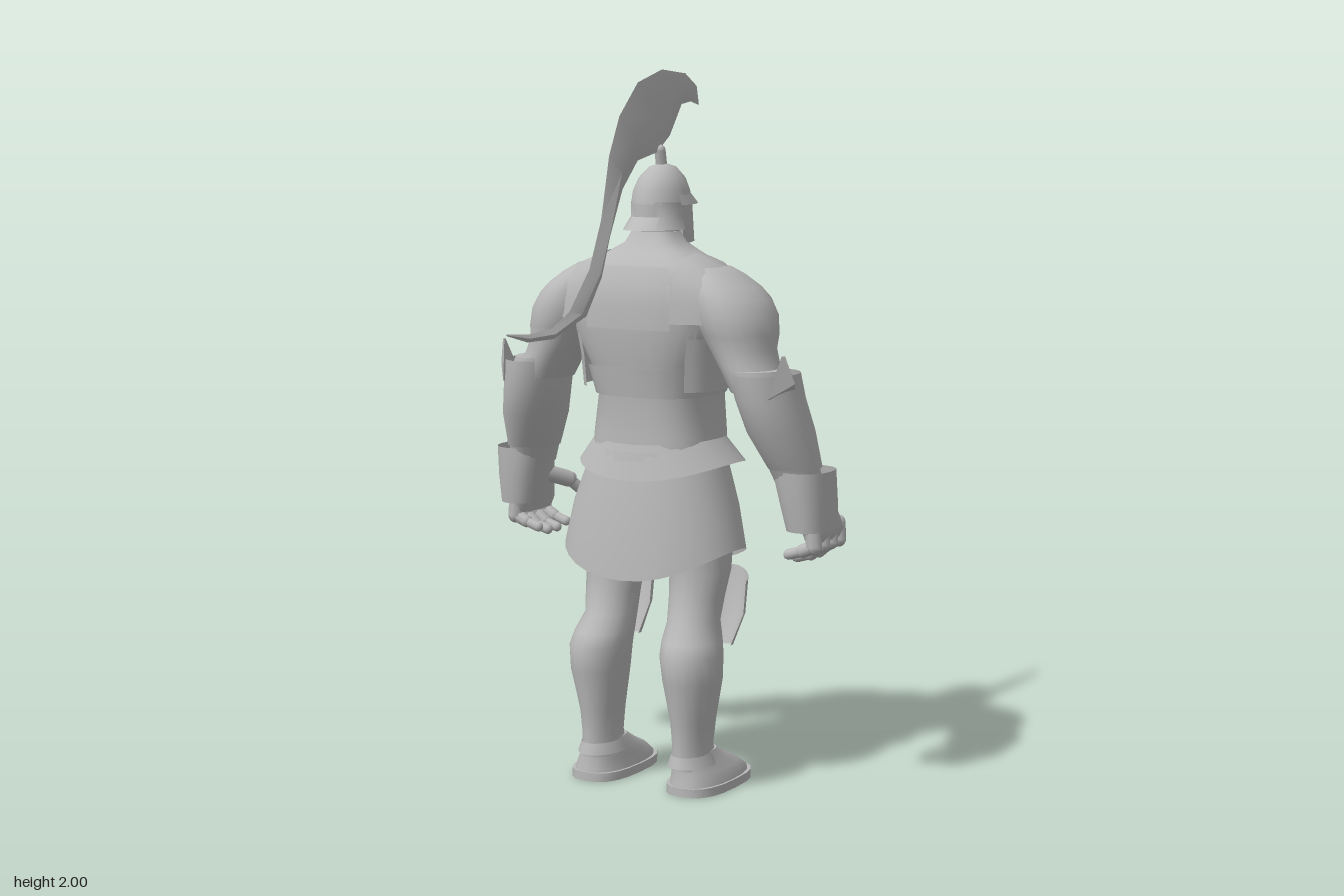
import * as THREE from 'three';
import { toCreasedNormals } from 'three/addons/utils/BufferGeometryUtils.js';

const stone = new THREE.MeshStandardMaterial({ color: 0xb8b8b8, side: THREE.DoubleSide });
stone.name = 'plain grey';
const V = (x, y, z) => new THREE.Vector3(x, y, z);

function add(parent, name, geometry) {
  const mesh = new THREE.Mesh(geometry, stone);
  mesh.name = name;
  parent.add(mesh);
  return mesh;
}

// Skin a list of rings (top to bottom), optionally closed around and capped
function loft(rings, closed = true, capped = closed, crease = 0.7) {
  const n = rings[0].length, pos = [], idx = [];
  rings.forEach(r => r.forEach(p => pos.push(p.x, p.y, p.z)));
  for (let i = 0; i + 1 < rings.length; i++) {
    for (let j = 0; j < (closed ? n : n - 1); j++) {
      const tr = i * n + j, tl = i * n + (j + 1) % n;
      idx.push(tl, tl + n, tr + n, tl, tr + n, tr);
    }
  }
  if (capped) [0, rings.length - 1].forEach(i => {
    const c = V(0, 0, 0), ci = pos.length / 3;
    rings[i].forEach(p => c.addScaledVector(p, 1 / n));
    pos.push(c.x, c.y, c.z);
    for (let j = 0; j < n; j++) {
      const a = i * n + j, b = i * n + (j + 1) % n;
      if (i === 0) idx.push(ci, b, a); else idx.push(ci, a, b);
    }
  });
  const g = new THREE.BufferGeometry();
  g.setAttribute('position', new THREE.Float32BufferAttribute(pos, 3));
  g.setIndex(idx);
  return toCreasedNormals(g, crease);
}

// Oval rows [y, cx, cz, rx, rz, dip]; angle 0 is the face side (-z), PI/2 is +x
function ovals(rows, { from = 0, to = Math.PI * 2, power = 2, n = 20, capped } = {}) {
  const closed = to - from > 6.28;
  const bend = v => Math.sign(v) * Math.abs(v) ** (2 / power);
  const rings = rows.map(([y, cx, cz, rx, rz, dip = 0]) =>
    Array.from({ length: closed ? n : n + 1 }, (_, j) => {
      const a = from + (to - from) * j / n, c = Math.cos(a);
      return V(cx + rx * bend(Math.sin(a)), y - dip * c * c, cz - rz * bend(c));
    }));
  return loft(rings, closed, capped ?? closed);
}

// Rounded bar between two points
function bar(parent, name, a, b, r) {
  const mesh = add(parent, name, new THREE.CapsuleGeometry(r, a.distanceTo(b), 4, 8));
  mesh.position.copy(a).lerp(b, 0.5);
  mesh.quaternion.setFromUnitVectors(V(0, 1, 0), b.clone().sub(a).normalize());
}

function box(parent, name, p, s, rx = 0) {
  const mesh = add(parent, name, new THREE.BoxGeometry(...s));
  mesh.position.set(...p);
  mesh.rotation.x = rx;
}

function buildTorso(g) {
  add(g, 'torso', ovals([
    [1.56, 0, -.255, .064, .065], [1.53, 0, -.25, .08, .075], [1.505, 0, -.245, .125, .095],
    [1.475, 0, -.238, .185, .12], [1.43, 0, -.245, .228, .15], [1.37, 0, -.258, .242, .166],
    [1.28, 0, -.265, .225, .172], [1.2, 0, -.277, .185, .17], [1.11, 0, -.286, .16, .165],
    [1.0, 0, -.28, .175, .16], [.88, 0, -.27, .18, .155]], { power: 2.8, n: 32 }));
  add(g, 'backPlate', ovals([[1.47, 0, -.245, .2, .132], [1.42, 0, -.25, .23, .161], [1.36, 0, -.25, .235, .168],
    [1.3, 0, -.25, .235, .168]], { from: 2.65, to: 3.63, power: 2.6, n: 10 }));
  add(g, 'waistBand', ovals([[1.19, 0, -.277, .19, .174], [1.11, 0, -.285, .168, .17]], { power: 2.8, capped: false }));
  // Belt with a flared pointed lower edge
  add(g, 'belt', ovals([[.99, 0, -.28, .182, .168, .01], [.925, 0, -.291, .235, .206, .042]],
    { n: 28, power: 2.2, capped: false }));
  add(g, 'skirt', ovals([[.96, 0, -.27, .185, .165], [.8, 0, -.255, .24, .185], [.69, 0, -.25, .265, .2, .08]],
    { from: .5, to: Math.PI * 2 - .5, power: 2.2, n: 26 }));
  for (let i = -2; i <= 2; i++) {
    box(g, 'frontStrip', [i * .045, .775, -.452 + Math.abs(i) * .006], [.038, .23, .012], .06);
  }
}

function buildHead(g) {
  add(g, 'head', ovals([[1.67, 0, -.28, .06, .08], [1.62, 0, -.278, .066, .088], [1.57, 0, -.278, .063, .085],
    [1.53, 0, -.29, .052, .07], [1.5, 0, -.3, .034, .045]], { power: 2.3 }));
  box(g, 'brow', [0, 1.617, -.36], [.08, .014, .02], .2);
  box(g, 'nose', [0, 1.587, -.366], [.018, .045, .026], .25);
  box(g, 'mouth', [0, 1.548, -.352], [.036, .012, .016]);
  add(g, 'helmet', ovals([[1.745, 0, -.285, .008, .01], [1.735, 0, -.285, .035, .045], [1.705, 0, -.282, .06, .078],
    [1.67, 0, -.28, .073, .095], [1.635, 0, -.278, .077, .1]], { capped: false }));
  add(g, 'brim', ovals([[1.66, 0, -.28, .076, .099], [1.632, 0, -.29, .086, .122, -.006]],
    { from: -1.9, to: 1.9 }));
  add(g, 'neckGuard', ovals([[1.64, 0, -.275, .077, .095], [1.6, 0, -.27, .075, .092], [1.565, 0, -.265, .086, .13]],
    { from: 1.6, to: 4.68 }));
  bar(g, 'crestPost', V(0, 1.735, -.28), V(0, 1.78, -.27), .016);
  // Crest: upper and lower edge pairs as z, y, z, y with the half thickness
  const edges = [[-.487, 1.907, -.485, 1.902, .001], [-.475, 1.955, -.44, 1.912, .005], [-.41, 1.99, -.39, 1.905, .01],
    [-.28, 2, -.325, 1.82, .018], [-.15, 1.965, -.255, 1.775, .021], [-.053, 1.875, -.15, 1.755, .021],
    [0, 1.77, -.07, 1.68, .02], [.037, 1.61, -.005, 1.555, .018], [.1, 1.475, .037, 1.45, .016],
    [.2, 1.37, .115, 1.352, .013], [.29, 1.333, .275, 1.306, .01], [.4, 1.328, .4, 1.308, .007],
    [.497, 1.337, .497, 1.333, .001]];
  add(g, 'crest', loft(edges.map(([z1, y1, z2, y2, t]) => {
    const z = (z1 + z2) / 2, y = (y1 + y2) / 2;
    return [V(0, y1, z1), V(t, y, z), V(0, y2, z2), V(-t, y, z)];
  })));
}

function buildArm(g) {
  add(g, 'upperArm', ovals([[1.468, .185, -.24, .045, .07], [1.445, .205, -.242, .065, .1], [1.415, .225, -.243, .088, .123],
    [1.385, .242, -.242, .101, .134], [1.34, .26, -.238, .108, .138], [1.29, .277, -.233, .098, .128],
    [1.25, .289, -.227, .085, .11], [1.21, .31, -.22, .077, .106], [1.14, .345, -.22, .075, .1]]));
  add(g, 'forearm', ovals([[1.2, .338, -.215, .08, .105], [1.14, .362, -.22, .08, .112], [1.05, .388, -.24, .08, .112],
    [.97, .412, -.268, .07, .095], [.88, .432, -.29, .058, .078]]));
  // Bracer with a raised elbow point on the outer side
  add(g, 'bracer', ovals([[1.19, .36, -.218, .09, .118], [1.12, .373, -.226, .088, .12], [1.03, .395, -.248, .086, .116],
    [.93, .422, -.28, .07, .09]], { from: -.1, to: 5.2 }));
  add(g, 'elbowPoint', loft([[V(.445, 1.245, -.165), V(.45, 1.245, -.16), V(.442, 1.245, -.155)],
    [V(.44, 1.13, -.24), V(.47, 1.17, -.18), V(.42, 1.13, -.115)]], true, true, .3));
  add(g, 'cuff', ovals([[.925, .448, -.285, .08, .092], [.84, .457, -.295, .07, .094], [.76, .464, -.305, .06, .09]],
    { from: -.3, to: 4.1, power: 2.4 }));
  // Hand with curled fingers and a forward thumb
  add(g, 'palm', ovals([[.9, .435, -.295, .05, .07], [.82, .458, -.325, .042, .085], [.75, .476, -.35, .036, .095],
    [.725, .475, -.35, .025, .085]], { power: 2.6 }));
  [.275, .325, .375, .425].forEach((z, i) => {
    const lift = [.015, 0, 0, .01][i];
    const joints = [V(.482, .76, -z), V(.485, .715, -z), V(.45, .685 + lift, -z), V(.408, .672 + lift, -z)];
    for (let k = 0; k < 3; k++) bar(g, 'finger', joints[k], joints[k + 1], .023 - k * .004);
  });
  bar(g, 'thumbBase', V(.44, .84, -.34), V(.395, .81, -.42), .025);
  bar(g, 'thumb', V(.395, .81, -.42), V(.372, .775, -.455), .018);
}

function buildLeg(g) {
  add(g, 'leg', ovals([[.9, .105, -.27, .1, .125], [.75, .125, -.27, .1, .113], [.62, .135, -.27, .086, .09],
    [.55, .136, -.25, .077, .085], [.48, .134, -.235, .071, .085], [.43, .142, -.212, .08, .1],
    [.39, .147, -.2, .083, .107], [.32, .15, -.202, .078, .102], [.2, .148, -.21, .056, .085],
    [.13, .147, -.21, .049, .08], [.07, .147, -.215, .055, .085]]));
  add(g, 'kneeGuard', ovals([[.58, .152, -.335, .087, .096, -.028], [.49, .152, -.32, .088, .09],
    [.405, .15, -.288, .068, .081, .015]], { from: -1.45, to: 1.45, n: 12 }));
  add(g, 'bootRim', ovals([[.11, .147, -.213, .053, .084], [.078, .147, -.215, .064, .095]], { capped: false }));
  add(g, 'boot', ovals([[.115, .147, -.22, .05, .08], [.085, .147, -.245, .06, .107], [.06, .152, -.273, .07, .135],
    [.035, .155, -.288, .078, .156], [.02, .155, -.29, .081, .16]], { power: 2.4 }));
  add(g, 'sole', ovals([[.025, .155, -.291, .086, .165], [0, .155, -.291, .086, .165]], { power: 2.7 }));
}

function buildArmour(g) {
  const chest = add(g, 'chestMuscle', new THREE.SphereGeometry(1, 20, 12));
  chest.position.set(.1, 1.335, -.383);
  chest.scale.set(.115, .085, .055);
  chest.rotation.set(-.1, -.15, .15);
  add(g, 'sidePanel', ovals([[1.33, 0, -.265, .234, .176], [1.22, 0, -.272, .212, .176], [1.13, 0, -.277, .205, .175]],
    { from: .75, to: 2.4, power: 2.8, n: 12 }));
  // Strap lying over the shoulder from the back to the chest: z, y and sideways fall
  const path = [[-.098, 1.32, 0], [-.102, 1.38, .005], [-.115, 1.435, .015], [-.155, 1.475, .03], [-.23, 1.488, .035],
    [-.31, 1.477, .03], [-.367, 1.437, .015], [-.405, 1.38, .005], [-.42, 1.32, 0]];
  add(g, 'shoulderStrap', loft(path.map(([z, y, fall]) => {
    const at = (x, k, drop) => V(x, y - drop, -.25 + (z + .25) * k);
    return [at(.135, 1.06, -fall * .5), at(.18, 1, 0), at(.23, .86, fall)];
  }), false));
}

export function createModel() {
  const model = new THREE.Group();
  model.name = 'helmetedWarrior';
  buildTorso(model);
  buildHead(model);
  [['left', 1], ['right', -1]].forEach(([name, s]) => {
    const parts = { Arm: buildArm, Leg: buildLeg, Armour: buildArmour };
    for (const [label, build] of Object.entries(parts)) {
      const group = new THREE.Group();
      group.name = name + label;
      group.scale.x = s;
      build(group);
      model.add(group);
    }
    // Cheek guard
    box(model, name + 'CheekGuard', [s * .066, 1.58, -.305], [.008, .11, .06], .12);
  });
  return model;
}
